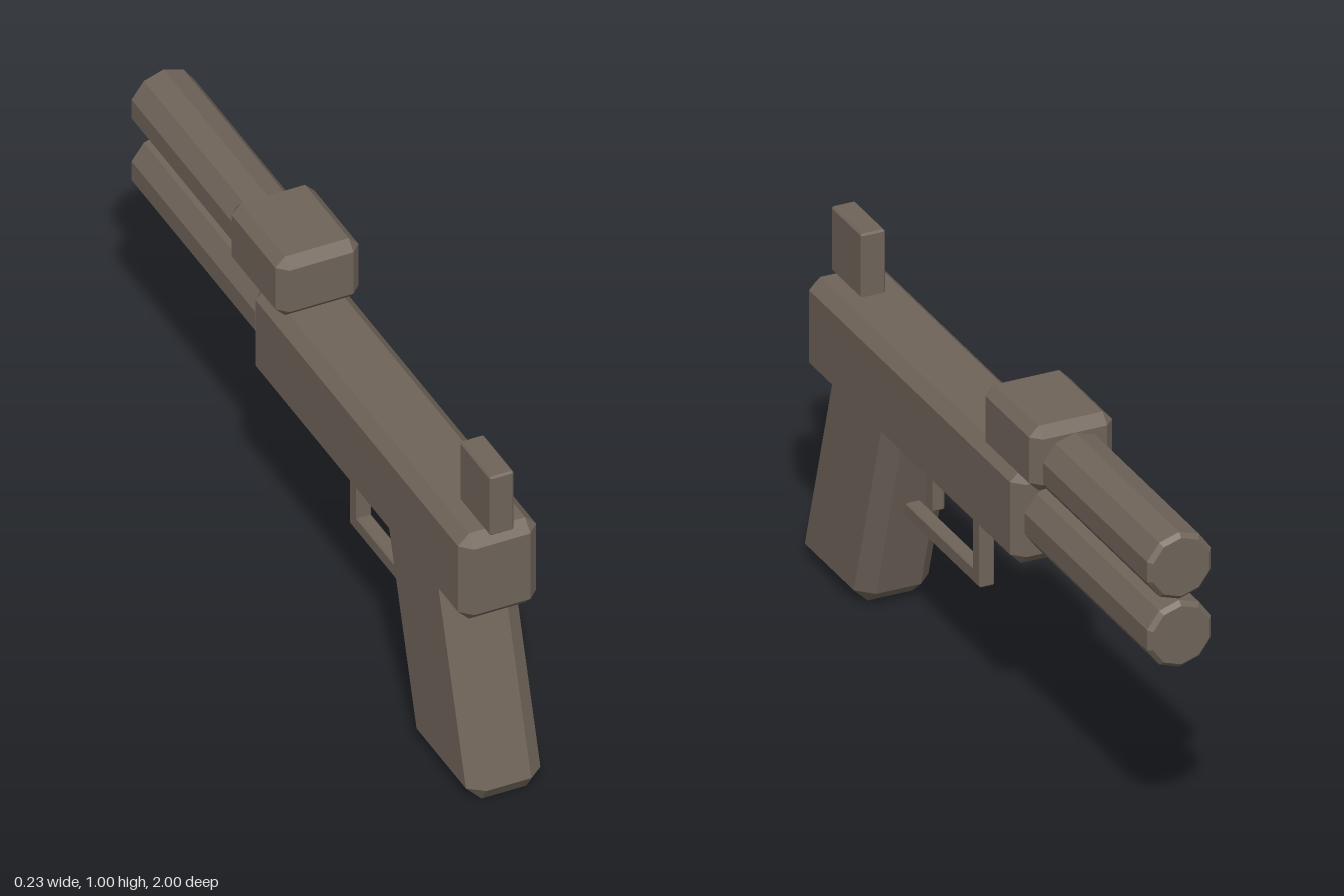
import * as THREE from 'three';
import { ConvexGeometry } from 'three/addons/geometries/ConvexGeometry.js';

export function createModel() {
  const group = new THREE.Group();
  const brown = new THREE.MeshStandardMaterial({ color: 0x6f6459 });
  brown.name = 'dull brown';

  function add(name, geometry) {
    const mesh = new THREE.Mesh(geometry, brown);
    mesh.name = name;
    group.add(mesh);
    return mesh;
  }

  // Box with every edge cut by c, symmetric in x
  function chamferBox(name, halfX, [y0, y1], [z0, z1], c) {
    const points = [];
    for (const sx of [-1, 1])
      for (const [y, dy] of [[y0, c], [y1, -c]])
        for (const [z, dz] of [[z0, c], [z1, -c]]) {
          points.push(
            new THREE.Vector3(sx * halfX, y + dy, z + dz),
            new THREE.Vector3(sx * (halfX - c), y, z + dz),
            new THREE.Vector3(sx * (halfX - c), y + dy, z));
        }
    return add(name, new ConvexGeometry(points));
  }

  // Main body and the blocks on top of it
  chamferBox('body', 0.11, [0.545, 0.813], [-0.265, 0.963], 0.031);
  chamferBox('topBlock', 0.117, [0.813, 0.997], [-0.385, -0.079], 0.027);
  chamferBox('rearSight', 0.034, [0.808, 0.992], [0.785, 0.962], 0.005);

  // Two ten-sided barrels with bevelled ends
  const r = 0.095, bevel = 0.012, length = 0.735;
  const profile = [[0, 0], [r - bevel, 0], [r, bevel], [r, length - bevel], [r - bevel, length], [0, length]]
    .map(([x, y]) => new THREE.Vector2(x, y));
  for (const [name, y] of [['upperBarrel', 0.875], ['lowerBarrel', 0.681]]) {
    const lathe = new THREE.LatheGeometry(profile, 10).toNonIndexed();
    lathe.computeVertexNormals();
    lathe.rotateX(-Math.PI / 2);
    add(name, lathe).position.set(0, y, -0.265);
  }

  // Slanted grip: leaning eight-sided section with a bevelled foot
  const grip = [];
  const lean = -0.3;
  for (const sx of [-1, 1]) {
    for (const y of [0.042, 0.6]) {
      const shift = lean * (y - 0.042);
      for (const [x, z] of [[0.105, 0.683], [0.063, 0.64], [0.105, 0.967], [0.063, 1.0]])
        grip.push(new THREE.Vector3(sx * x, y, z + shift));
    }
    for (const z of [0.69, 0.972]) grip.push(new THREE.Vector3(sx * 0.063, 0, z));
  }
  add('grip', new ConvexGeometry(grip));

  // Trigger and its guard
  chamferBox('trigger', 0.017, [0.375, 0.57], [0.405, 0.45], 0.004);
  chamferBox('guardPost', 0.021, [0.29, 0.57], [0.125, 0.167], 0.004);
  chamferBox('guardBar', 0.021, [0.29, 0.332], [0.125, 0.62], 0.004);

  return group;
}
